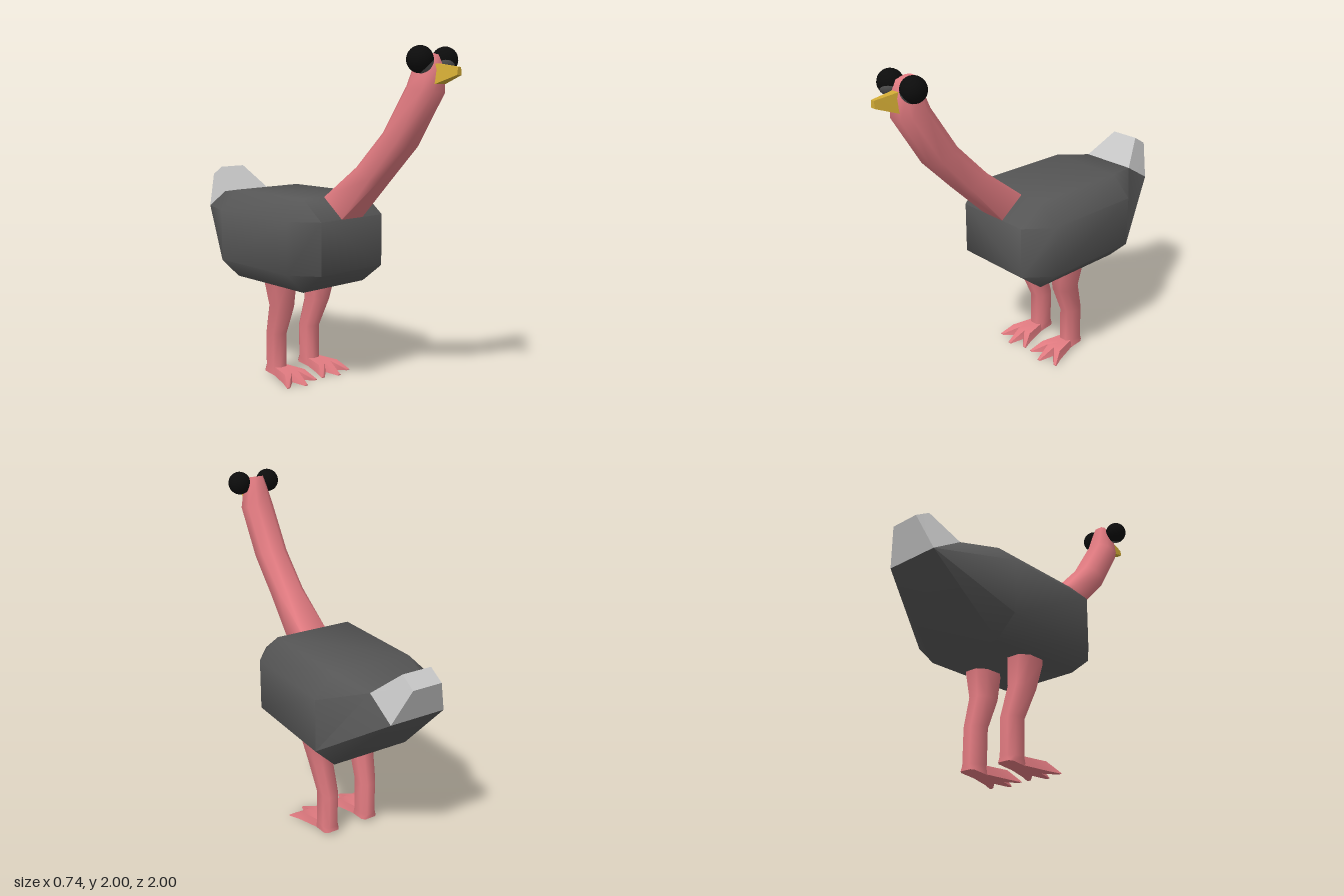
import * as THREE from 'three';
import { toCreasedNormals } from 'three/addons/utils/BufferGeometryUtils.js';

const mat = (name, color) => new THREE.MeshStandardMaterial({ name, color });
const V = (x, y, z) => new THREE.Vector3(x, y, z);

// Skins a closed solid over rings of equal point count, skipping collapsed faces
function loft(rings, crease = 1.0) {
  const tris = [], n = rings[0].length;
  const add = (a, b, c) => {
    const area = b.clone().sub(a).cross(c.clone().sub(a)).length();
    if (area > 1e-7) tris.push([a, b, c]);
  };
  for (let i = 0; i < rings.length - 1; i++) {
    for (let j = 0; j < n; j++) {
      const k = (j + 1) % n, p = rings[i], q = rings[i + 1];
      add(p[j], p[k], q[k]);
      add(p[j], q[k], q[j]);
    }
  }
  const first = rings[0], last = rings[rings.length - 1];
  for (let j = 1; j < n - 1; j++) {
    add(first[0], first[j + 1], first[j]);
    add(last[0], last[j], last[j + 1]);
  }
  // Turn all faces outwards
  const mid = first[0].clone();
  let volume = 0;
  for (const [a, b, c] of tris) {
    volume += a.clone().sub(mid).dot(b.clone().sub(mid).cross(c.clone().sub(mid)));
  }
  if (volume < 0) tris.forEach((t) => t.reverse());
  const geo = new THREE.BufferGeometry().setFromPoints(tris.flat());
  return toCreasedNormals(geo, crease);
}

// Chamfered eight-point section between a front and a back [z, y] edge
function section([za, ya], [zb, yb], x0, x1, c = 0.25) {
  const pts = [[c, 0], [1 - c, 0], [1, c], [1, 1 - c], [1 - c, 1], [c, 1], [0, 1 - c], [0, c]];
  return pts.map(([u, v]) => V(x0 + (x1 - x0) * u, ya + (yb - ya) * v, za + (zb - za) * v));
}

// Four-cornered section with its own width at each edge
function quad([za, ya], [zb, yb], wa, wb, x = 0) {
  return [V(x - wa, ya, za), V(x + wa, ya, za), V(x + wb, yb, zb), V(x - wb, yb, zb)];
}

export function createModel() {
  const skin = mat('pink skin', 0xe07a80);
  const plumage = mat('dark plumage', 0x565656);
  const tailGrey = mat('pale tail', 0xc4c4c4);
  const black = mat('eye black', 0x0c0c0c);
  const horn = mat('beak yellow', 0xd2ab35);

  const model = new THREE.Group();
  model.name = 'longNeckedBird';
  const part = (name, geometry, material, parent = model) => {
    const mesh = new THREE.Mesh(geometry, material);
    mesh.name = name;
    parent.add(mesh);
    return mesh;
  };

  // Body: octagonal barrel with both ends drawn in to a rectangle
  const octagon = (z) => [[0.245, 0.615], [0.368, 0.735], [0.368, 1.045], [0.245, 1.165],
    [-0.245, 1.165], [-0.368, 1.045], [-0.368, 0.735], [-0.245, 0.615]].map(([x, y]) => V(x, y, z));
  const doubled = (corners) => corners.flatMap(([x, y, z]) => [V(x, y, z), V(x, y, z)]);
  part('body', loft([
    doubled([[0.245, 0.735, 0.25], [0.245, 1.045, 0.25], [-0.245, 1.045, 0.25], [-0.245, 0.735, 0.25]]),
    octagon(0.095), octagon(-0.53),
    doubled([[0.17, 1.02, -0.935], [0.175, 1.13, -0.755], [-0.175, 1.13, -0.755], [-0.17, 1.02, -0.935]]),
  ]), plumage);

  // Upturned tail
  part('tail', loft([
    quad([-0.755, 1.13], [-0.935, 1.02], 0.175, 0.17),
    quad([-0.91, 1.275], [-1.0, 1.22], 0.09, 0.09),
  ]), tailGrey);

  // Neck and head in one skin
  part('neck', loft([
    section([0.23, 1.03], [0.08, 1.15], -0.085, 0.085, 0.02),
    section([0.25, 1.045], [0.1, 1.165], -0.085, 0.085, 0.02),
    section([0.5, 1.28], [0.33, 1.35], -0.085, 0.085, 0.2),
    section([0.7, 1.48], [0.525, 1.55], -0.088, 0.088, 0.25),
    section([0.877, 1.765], [0.69, 1.8], -0.088, 0.088, 0.25),
    section([0.877, 1.88], [0.73, 1.91], -0.062, 0.062, 0.22),
    section([0.845, 1.955], [0.755, 1.975], -0.042, 0.042, 0.2),
  ], 1.1), skin);

  // Beak
  part('beak', loft([
    quad([0.86, 1.8], [0.86, 1.91], 0.045, 0.026),
    quad([1.0, 1.85], [1.0, 1.89], 0.018, 0.012),
  ], 0.5), horn);

  // Pair of eyes, legs and feet
  for (const side of [1, -1]) {
    const label = side > 0 ? 'left' : 'right';

    const eye = part(label + 'Eye', new THREE.SphereGeometry(0.07, 24, 16), black);
    eye.position.set(side * 0.098, 1.93, 0.825);
    // Grey lower lid on the inner, forward side
    const lid = part(label + 'EyeLid',
      new THREE.SphereGeometry(0.0712, 24, 8, 0, Math.PI * 2, 0, 0.8), plumage, eye);
    lid.quaternion.setFromUnitVectors(V(0, 1, 0), V(-side * 0.5, -0.72, 0.48).normalize());

    const leg = new THREE.Group();
    leg.name = label + 'Leg';
    model.add(leg);
    const limb = (front, back, inner, outer, c) => section(front, back, side * inner, side * outer, c);
    part(label + 'Shank', loft([
      limb([-0.11, 0.65], [-0.32, 0.65], 0.075, 0.25, 0.25),
      limb([-0.115, 0.61], [-0.315, 0.61], 0.078, 0.243, 0.25),
      limb([-0.14, 0.465], [-0.305, 0.455], 0.085, 0.208, 0.25),
      limb([-0.22, 0.28], [-0.355, 0.267], 0.083, 0.19, 0.25),
      limb([-0.22, 0.065], [-0.355, 0.055], 0.085, 0.19, 0.25),
      limb([-0.22, 0.01], [-0.355, 0.025], 0.085, 0.19, 0.15),
    ], 1.1), skin, leg);

    // Three pointed toes fanning out from the ankle
    const cx = side * 0.138;
    const toes = [[-0.115, -0.035], [0, 0], [0.122, -0.035]];
    toes.forEach(([dx, tipZ], i) => {
      part(label + 'Toe' + (i + 1), loft([
        quad([-0.25, 0.015], [-0.25, 0.065], 0.052, 0.045, cx),
        quad([-0.11, 0.006], [-0.11, 0.06], 0.038, 0.026, cx + side * dx * 0.45),
        quad([tipZ, 0], [tipZ, 0.006], 0.012, 0.008, cx + side * dx * 0.92),
      ], 0.8), skin, leg);
    });
  }
  return model;
}
